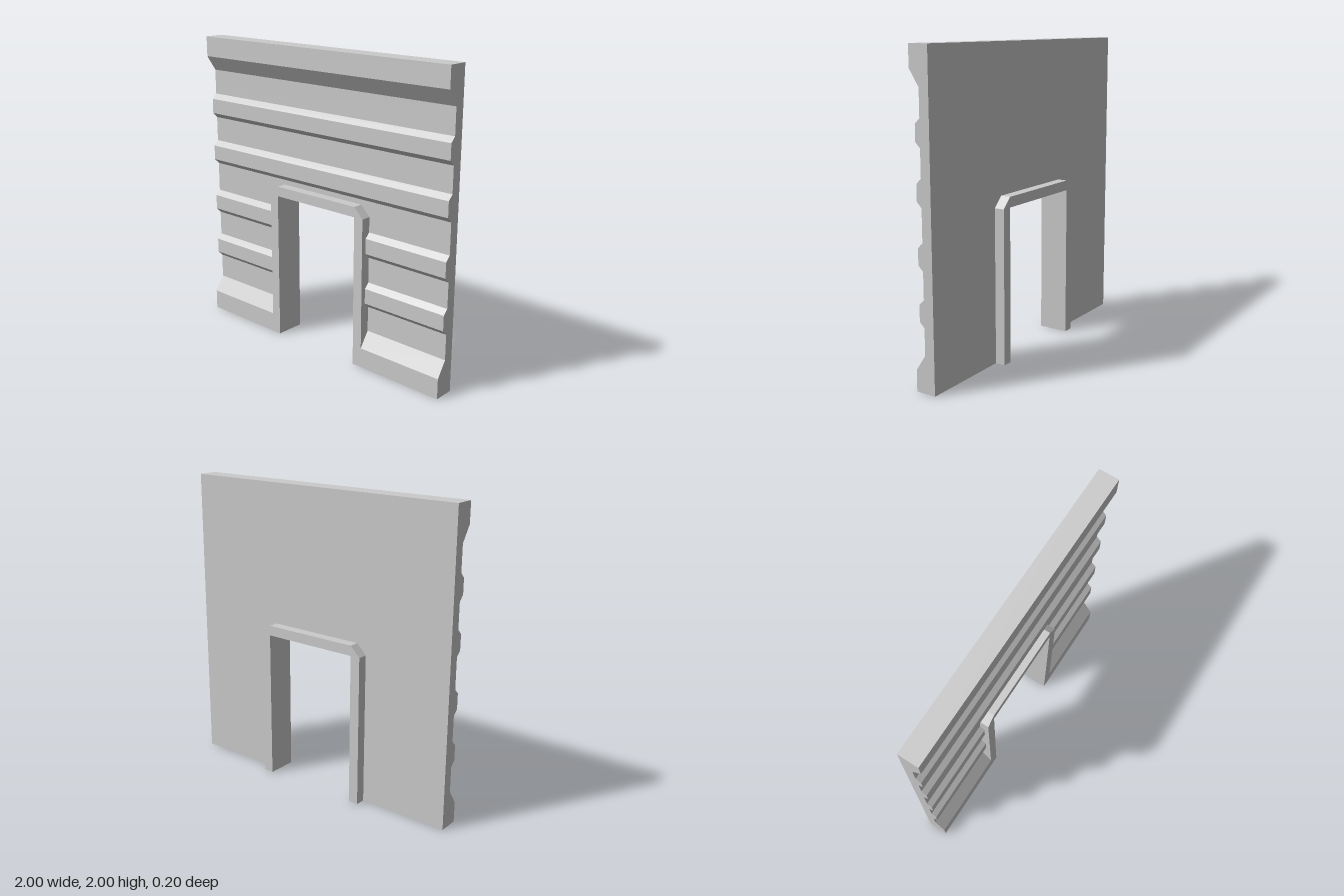
import * as THREE from 'three';

const BACK = -0.0333, FACE = 0.0333, RIB = 0.0667, FRONT = 0.1;
const SPLIT = 1.0333; // height where the side panels meet the upper panel
const RIBS = [0.4, 0.7333, 1.1, 1.4333];

export function createModel() {
  const group = new THREE.Group();
  const material = new THREE.MeshStandardMaterial({ color: 0xcccccc, flatShading: true });

  const add = (name, geometry) => {
    const mesh = new THREE.Mesh(geometry, material);
    mesh.name = name;
    group.add(mesh);
  };

  // Front outline points [z, y] of the ribs between two heights
  const ribPoints = (from, to) => RIBS.filter((y) => y > from && y < to).flatMap((y) => [
    [FACE, y], [RIB, y + 0.0333], [RIB, y + 0.1333], [FACE, y + 0.1667],
  ]);

  // Wall profile [z, y] swept along x
  const sweep = (points, x0, x1) => {
    const shape = new THREE.Shape(points.map(([z, y]) => new THREE.Vector2(z, y)));
    return new THREE.ExtrudeGeometry(shape, { depth: x1 - x0, bevelEnabled: false })
      .rotateY(-Math.PI / 2).translate(x1, 0, 0);
  };

  // Upper panel with ribs and a thick sloped cornice
  add('upperWall', sweep([
    [BACK, SPLIT], [FACE, SPLIT], ...ribPoints(SPLIT, 2),
    [FACE, 1.7667], [FRONT, 1.8667], [FRONT, 2], [BACK, 2],
  ], -1, 1));

  // Side panels with ribs and a sloped plinth
  const sideProfile = [
    [BACK, 0], [FRONT, 0], [FRONT, 0.1333], [FACE, 0.2333], ...ribPoints(0, 1),
    [FACE, 1], [FACE, SPLIT], [BACK, SPLIT], [BACK, 1],
  ];
  for (const side of [-1, 1]) {
    const geometry = sweep(sideProfile, side < 0 ? -1 : 0.4, side < 0 ? -0.4 : 1);
    // Inner end follows the chamfered corner of the door frame
    const p = geometry.attributes.position;
    for (let i = 0; i < p.count; i++) {
      if (Math.abs(p.getX(i)) < 0.5 && p.getY(i) > 1) {
        p.setX(i, side * (0.4 - (p.getY(i) - 1)));
      }
    }
    geometry.computeVertexNormals();
    add(side < 0 ? 'rightWall' : 'leftWall', geometry);
  }

  // Door frame standing proud of the wall on both faces
  const half = [[0.3333, 0], [0.4, 0], [0.4, 1], [0.3333, 1.0667]];
  const frame = new THREE.Shape([
    ...half,
    ...half.map(([x, y]) => [-x, y]).reverse(),
    [-0.3333, 1], [0.3333, 1],
  ].map(([x, y]) => new THREE.Vector2(x, y)));
  add('doorFrame', new THREE.ExtrudeGeometry(frame, { depth: 0.2, bevelEnabled: false })
    .translate(0, 0, -0.1));

  return group;
}
